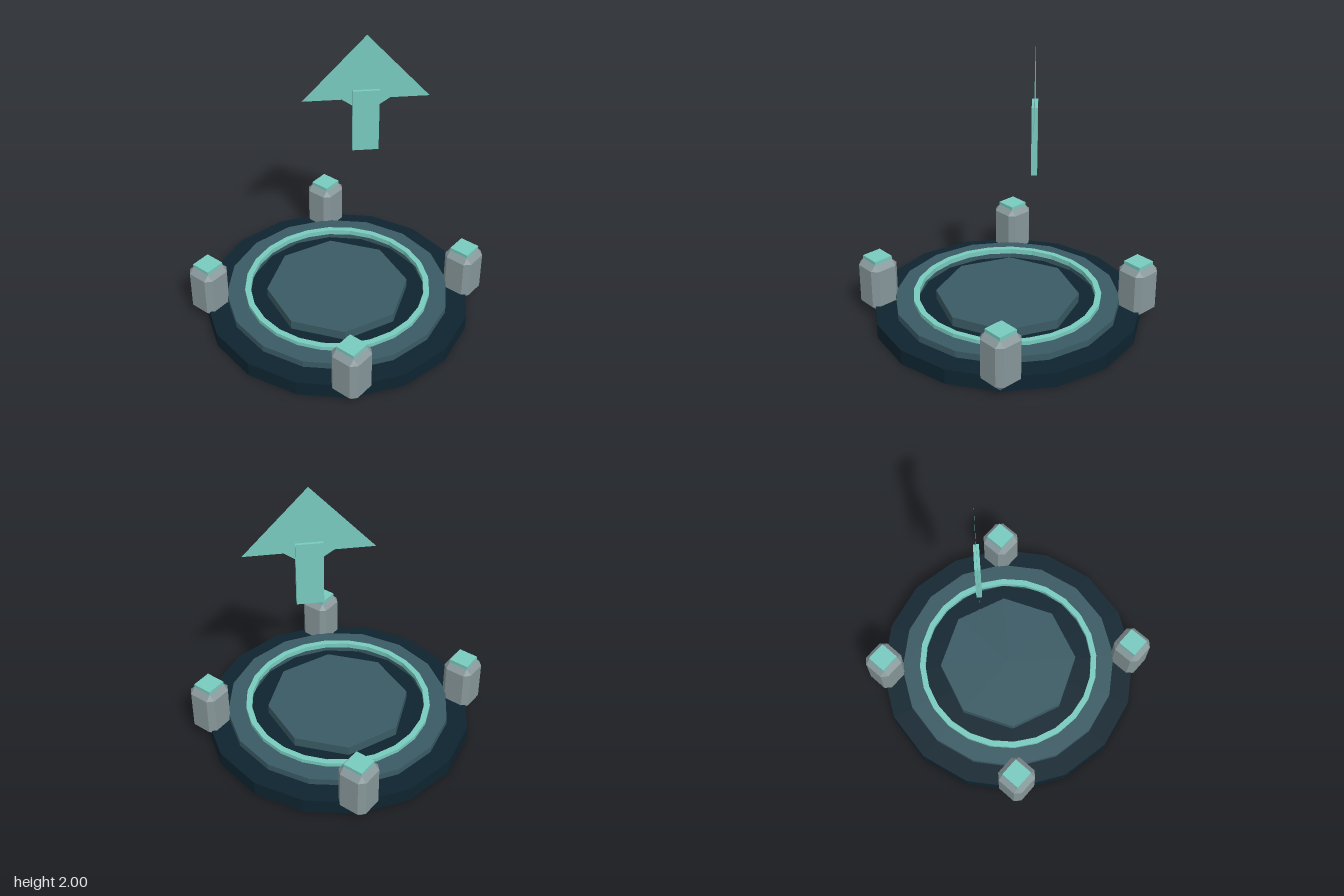
import * as THREE from 'three';
import { ConvexGeometry } from 'three/addons/geometries/ConvexGeometry.js';

const material = (name, color, side = THREE.FrontSide) => {
  const m = new THREE.MeshStandardMaterial({ color, side });
  m.name = name;
  return m;
};

function flat(geometry) {
  const g = geometry.index ? geometry.toNonIndexed() : geometry;
  g.computeVertexNormals();
  return g;
}

function part(name, geometry, mat, x = 0, y = 0, z = 0) {
  const mesh = new THREE.Mesh(geometry, mat);
  mesh.name = name;
  mesh.position.set(x, y, z);
  return mesh;
}

// Solid faceted disc standing on y0
function disc(radius, y0, y1, sides) {
  return flat(new THREE.CylinderGeometry(radius, radius, y1 - y0, sides).translate(0, (y0 + y1) / 2, 0));
}

// Faceted ring with a rectangular section
function band(inner, outer, y0, y1, sides) {
  const profile = [[inner, y0], [outer, y0], [outer, y1], [inner, y1], [inner, y0]];
  return flat(new THREE.LatheGeometry(profile.map(p => new THREE.Vector2(...p)), sides));
}

// Box with every edge cut by the same bevel
function chamferedBox(w, h, d, c) {
  const points = [];
  for (const sx of [-1, 1]) for (const sy of [-1, 1]) for (const sz of [-1, 1]) {
    for (let axis = 0; axis < 3; axis++) {
      const half = [w / 2, h / 2, d / 2].map((v, i) => (i === axis ? v : v - c));
      points.push(new THREE.Vector3(sx * half[0], sy * half[1], sz * half[2]));
    }
  }
  return new ConvexGeometry(points);
}

export function createModel() {
  const navy = material('dark navy', 0x0e2430);
  const slate = material('slate teal', 0x3a5a64);
  const grey = material('post grey', 0x87979a);
  const aqua = material('aqua', 0x78cabf, THREE.DoubleSide);

  const model = new THREE.Group();
  model.name = 'beaconPad';

  // Stepped platform with a recessed floor and raised centre
  model.add(part('base', disc(0.912, 0, 0.105, 16), navy));
  model.add(part('rim', band(0.615, 0.767, 0.1, 0.152, 16), slate));
  model.add(part('lightRing', band(0.6, 0.64, 0.145, 0.18, 24), aqua));
  model.add(part('centrePlate', disc(0.488, 0.1, 0.172, 8), slate));

  // Four corner posts with lamp caps
  const postGeometry = chamferedBox(0.213, 0.35, 0.213, 0.038);
  const capGeometry = new THREE.BoxGeometry(0.138, 0.04, 0.138);
  for (const x of [-0.622, 0.622]) for (const z of [-0.622, 0.622]) {
    model.add(part('post', postGeometry, grey, x, 0.233, z));
    model.add(part('postLamp', capGeometry, aqua, x, 0.411, z));
  }

  // Floating arrow, turned to face the corner
  const arrow = new THREE.Group();
  arrow.name = 'arrow';
  arrow.position.set(0.017, 0, -0.268);
  arrow.rotation.y = Math.PI / 4;
  const half = [[0.41, 1.55], [0.155, 1.55], [0.07, 1.49]];
  const outline = [[0, 2], ...half.map(([x, y]) => [-x, y]), ...half.reverse()];
  const shape = new THREE.Shape(outline.map(p => new THREE.Vector2(...p)));
  arrow.add(part('arrowHead', new THREE.ShapeGeometry(shape), aqua));
  arrow.add(part('arrowShaft', new THREE.BoxGeometry(0.172, 0.442, 0.037), aqua, 0, 1.394, 0));
  model.add(arrow);

  return model;
}
